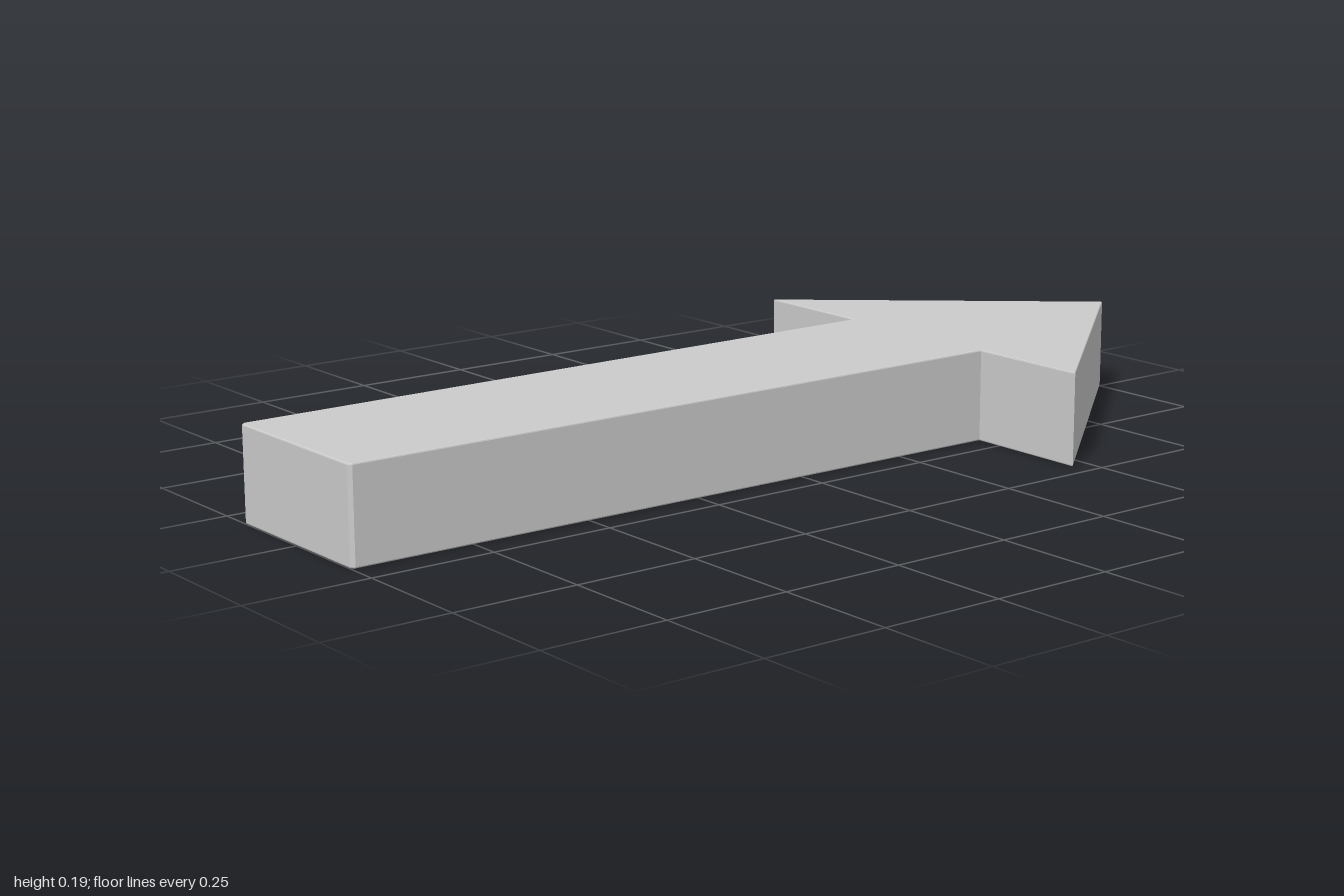
import * as THREE from 'three';

export function createModel() {
  const group = new THREE.Group();
  const material = new THREE.MeshStandardMaterial({ color: 0xcccccc });
  const height = 0.187, bevel = 0.003;

  // Right half of the outline from shaft end to tip; the shaft tapers slightly
  const half = [[0.18, -1], [0.187, -0.993], [0.195, 0.46], [0.46, 0.46]];
  const mirrored = half.map(([x, y]) => [-x, y]).reverse();
  const outline = [...half, [0, 1], ...mirrored].map(([x, y]) => new THREE.Vector2(x, y));

  // Thick flat arrow with finely eased edges, pointing to the back
  const geometry = new THREE.ExtrudeGeometry(new THREE.Shape(outline), {
    depth: height - 2 * bevel,
    bevelEnabled: true,
    bevelThickness: bevel,
    bevelSize: bevel,
    bevelOffset: -bevel,
    bevelSegments: 2,
  });
  geometry.translate(0, 0, bevel);
  geometry.rotateX(-Math.PI / 2);

  const arrow = new THREE.Mesh(geometry, material);
  arrow.name = 'arrow';
  group.add(arrow);
  return group;
}
